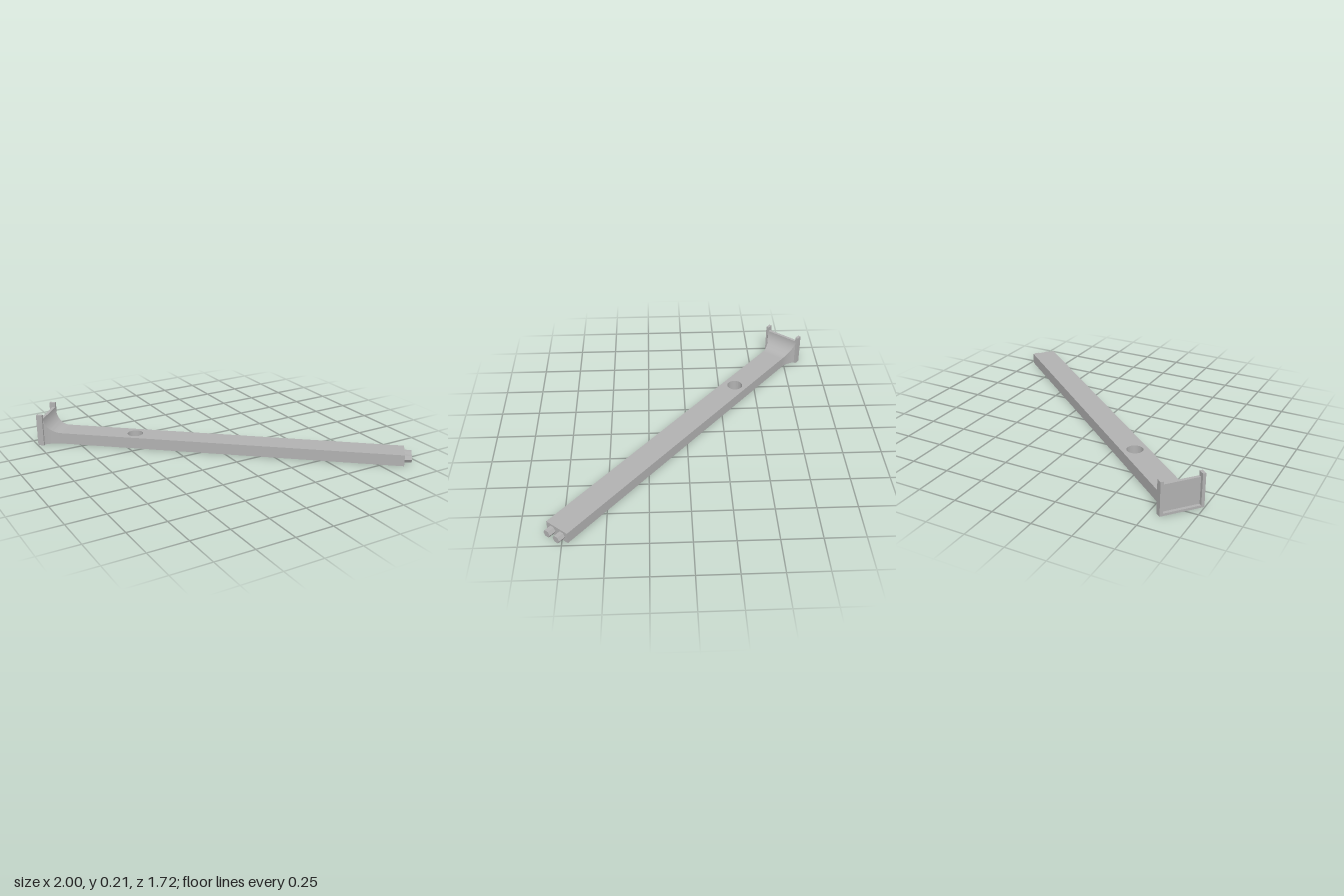
import * as THREE from 'three';
import { toCreasedNormals } from 'three/addons/utils/BufferGeometryUtils.js';

const BAR_H = 0.074, BAR_W = 0.082;      // bar height and half width
const PLATE_BACK = -1.188, PLATE_FRONT = -1.148, PLATE_W = 0.136;
const FLARE_END = -1.042, BAR_END = 1.21;
const PANEL_TOP = 0.183, TAB_TOP = 0.213, RIB = 0.02;

const grey = new THREE.MeshStandardMaterial({ color: 0xb2b2b2 });
grey.name = 'grey';

function add(parent, name, geometry) {
  const mesh = new THREE.Mesh(geometry, grey);
  mesh.name = name;
  parent.add(mesh);
  return mesh;
}

// box given by its limits along the bar (x), up (y) and across (z)
function box(parent, name, x0, x1, y0, y1, z0, z1) {
  const mesh = add(parent, name, new THREE.BoxGeometry(x1 - x0, y1 - y0, z1 - z0));
  mesh.position.set((x0 + x1) / 2, (y0 + y1) / 2, (z0 + z1) / 2);
  return mesh;
}

// straight bar with a round through hole
function barGeometry() {
  const shape = new THREE.Shape();
  shape.moveTo(FLARE_END, -BAR_W);
  shape.lineTo(BAR_END, -BAR_W);
  shape.lineTo(BAR_END, BAR_W);
  shape.lineTo(FLARE_END, BAR_W);
  shape.closePath();
  const hole = new THREE.Path();
  hole.absarc(-0.553, 0, 0.052, 0, Math.PI * 2, true);
  shape.holes.push(hole);
  const geo = new THREE.ExtrudeGeometry(shape, { depth: BAR_H, bevelEnabled: false, curveSegments: 32 });
  geo.rotateX(Math.PI / 2);
  geo.translate(0, BAR_H, 0);
  return toCreasedNormals(geo, 0.6);
}

// rectangular sections that sweep up and out from the bar to the plate
function flareGeometry() {
  const steps = 16, length = FLARE_END - PLATE_FRONT;
  const rise = PANEL_TOP - BAR_H, spread = 0.038;
  const radius = (length * length + spread * spread) / (2 * spread);
  const sections = [];
  for (let i = 0; i <= steps; i++) {
    const k = Math.sin((i / steps) * Math.PI / 2);  // 0 at the bar, 1 at the plate
    const x = FLARE_END - length * k;
    const h = BAR_H + rise * (1 - Math.sqrt(Math.max(0, 1 - k * k)));
    const w = BAR_W + radius - Math.sqrt(radius * radius - (length * k) ** 2);
    sections.unshift([[x, 0, -w], [x, 0, w], [x, h, w], [x, h, -w]]);
  }
  const pos = [];
  for (let i = 0; i < steps; i++) {
    for (let j = 0; j < 4; j++) {
      const n = (j + 1) % 4;
      const a = sections[i][j], b = sections[i][n];
      const c = sections[i + 1][n], d = sections[i + 1][j];
      pos.push(...a, ...d, ...c, ...a, ...c, ...b);
    }
  }
  const geo = new THREE.BufferGeometry();
  geo.setAttribute('position', new THREE.Float32BufferAttribute(pos, 3));
  return toCreasedNormals(geo, 0.6);
}

export function createModel() {
  const model = new THREE.Group();
  model.name = 'beam';
  const beam = new THREE.Group();
  beam.name = 'diagonalBeam';
  beam.rotation.y = -THREE.MathUtils.degToRad(40);
  model.add(beam);

  add(beam, 'bar', barGeometry());
  add(beam, 'flare', flareGeometry());

  // end plate: recessed panel framed by two tall ribs and a bottom rib
  const plate = new THREE.Group();
  plate.name = 'endPlate';
  beam.add(plate);
  const inner = PLATE_W - RIB;
  box(plate, 'panel', PLATE_BACK + 0.02, PLATE_FRONT, 0, PANEL_TOP, -inner, inner);
  box(plate, 'bottomRib', PLATE_BACK, PLATE_BACK + 0.02, 0, 0.015, -inner, inner);
  box(plate, 'leftRib', PLATE_BACK, PLATE_FRONT, 0, TAB_TOP, inner, PLATE_W);
  box(plate, 'rightRib', PLATE_BACK, PLATE_FRONT, 0, TAB_TOP, -PLATE_W, -inner);

  // hexagonal pegs on the other end
  for (const side of [-1, 1]) {
    const geo = new THREE.CylinderGeometry(0.026, 0.026, 0.046, 6);
    geo.rotateZ(-Math.PI / 2);
    const peg = add(beam, side > 0 ? 'leftPeg' : 'rightPeg', toCreasedNormals(geo, 0.3));
    peg.position.set(BAR_END + 0.023, BAR_H / 2, side * 0.037);
  }
  return model;
}
